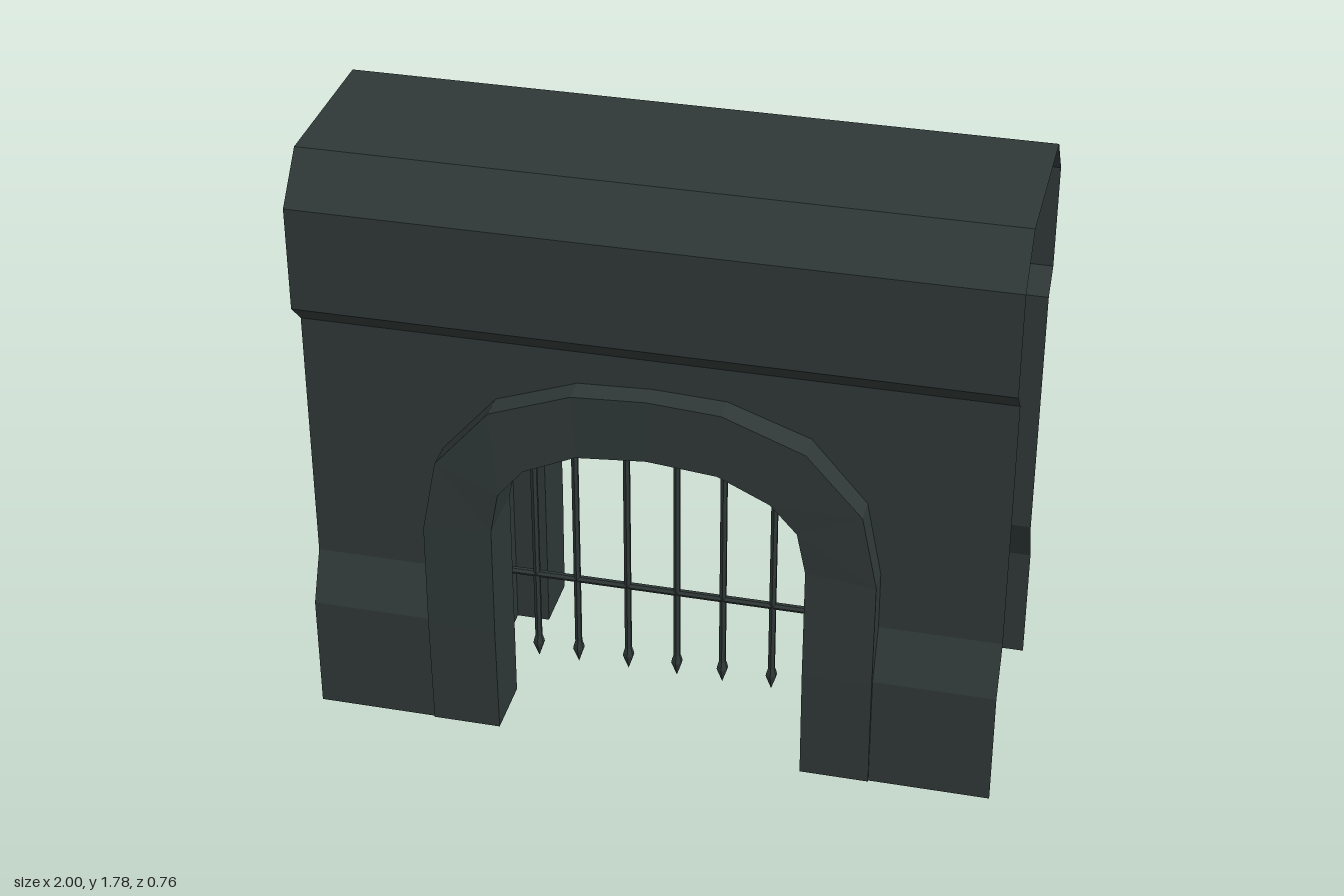
import * as THREE from 'three';

const stone = new THREE.MeshStandardMaterial({ color: 0x2f3837, flatShading: true, side: THREE.DoubleSide });
stone.name = 'darkStone';

// Half outlines of the arch from the right foot to the crown
const innerHalf = [[0.45, 0], [0.45, 0.35], [0.45, 0.7], [0.425, 0.83], [0.35, 0.92], [0.2, 0.985], [0, 1]];
const outerHalf = [[0.65, 0], [0.65, 0.35], [0.65, 0.68], [0.605, 0.91], [0.445, 1.095], [0.21, 1.18], [0, 1.19]];
const mirrorLeft = half => [...half.map(([x, y]) => [-x, y]), ...half.slice(0, -1).reverse()];
const inner = mirrorLeft(innerHalf);
const outer = mirrorLeft(outerHalf);
// Point between the inner (t = 0) and outer (t = 1) outline
const archPoint = (i, t) => inner[i].map((v, k) => v + (outer[i][k] - v) * t);

// Slightly uneven depth of the arch face, left foot to right foot
const faceDepth = [0.365, 0.375, 0.372, 0.378, 0.376, 0.37, 0.366, 0.372, 0.38, 0.372, 0.366, 0.373, 0.365];

function mesh(name, geometry, parent) {
  const m = new THREE.Mesh(geometry, stone);
  m.name = name;
  parent.add(m);
  return m;
}

function fromData(positions, index) {
  const g = new THREE.BufferGeometry();
  g.setAttribute('position', new THREE.Float32BufferAttribute(positions, 3));
  g.setIndex(index);
  g.computeVertexNormals();
  return g;
}

// Sheet following a [y, z] profile from x0 to x1
function sheet(profile, x0, x1) {
  const positions = [], index = [];
  profile.forEach(([y, z], i) => {
    positions.push(x0, y, z, x1, y, z);
    if (i) {
      const a = 2 * i - 2;
      index.push(a, a + 1, a + 3, a, a + 3, a + 2);
    }
  });
  return fromData(positions, index);
}

// Arch body: a grooved cross-section carried along the outline
function archGeometry() {
  const positions = [], index = [];
  const n = inner.length;
  const section = i => {
    const f = faceDepth[i], b = -faceDepth[n - 1 - i], s = 0.18;
    return [[1, f], [0, f], [0, s], [0.5, s], [0.5, -s], [0, -s], [0, b], [1, b],
      [1, -s], [0.94, -s], [0.94, s], [1, s]];
  };
  const k = section(0).length;
  for (let i = 0; i < n; i++) {
    for (const [t, z] of section(i)) positions.push(...archPoint(i, t), z);
    if (i === n - 1) break;
    for (let j = 0; j < k; j++) {
      const a = i * k + j, b = i * k + (j + 1) % k;
      index.push(a, b, a + k, b, b + k, a + k);
    }
  }
  // Feet
  const cap = THREE.ShapeUtils.triangulateShape(section(0).map(p => new THREE.Vector2(...p)), []);
  const last = (n - 1) * k;
  for (const [a, b, c] of cap) index.push(a, b, c, last + a, last + c, last + b);
  return fromData(positions, index);
}

// One face of the wall, with the arch opening left free
function wallFace(name) {
  const g = new THREE.Group();
  g.name = name;
  const plinth = [[0, 0.36], [0.355, 0.36], [0.5, 0.295]];
  mesh('plinthRight', sheet(plinth, -1, -0.55), g);
  mesh('plinthLeft', sheet(plinth, 0.55, 1), g);
  mesh('cornice', sheet([[1.28, 0.295], [1.345, 0.36], [1.655, 0.36], [1.785, 0.245]], -1, 1), g);

  const outline = [[-1, 0.5], [-0.55, 0.5]];
  inner.forEach((_, i) => {
    const p = archPoint(i, 0.5);
    if (p[1] > 0.5) outline.push(p);
  });
  outline.push([0.55, 0.5], [1, 0.5], [1, 1.28], [-1, 1.28]);
  const panel = new THREE.ShapeGeometry(new THREE.Shape(outline.map(p => new THREE.Vector2(...p))));
  mesh('wallPanel', panel.translate(0, 0, 0.295), g);
  return g;
}

// Hanging gate of round bars with pointed ends
function gate() {
  const g = new THREE.Group();
  g.name = 'gate';
  const bars = [[-0.43, 0.97], [-0.305, 1.05], [-0.15, 1.08], [0, 1.09], [0.14, 1.08], [0.29, 1.05], [0.43, 0.97]];
  const spike = [[0, 0], [0.018, 0.05], [0.016, 0.06], [0.01, 0.08]].map(p => new THREE.Vector2(...p));
  for (const [x, top] of bars) {
    mesh('uprightBar', new THREE.CylinderGeometry(0.011, 0.011, top - 0.06, 6, 1, true), g)
      .position.set(x, (top + 0.06) / 2, 0);
    mesh('barSpike', new THREE.LatheGeometry(spike, 6), g).position.x = x;
  }
  for (const y of [0.305, 0.775]) {
    const rail = mesh('crossBar', new THREE.CylinderGeometry(0.011, 0.011, 1.1, 6, 1, true), g);
    rail.rotation.z = Math.PI / 2;
    rail.position.y = y;
  }
  return g;
}

export function createModel() {
  const model = new THREE.Group();
  model.name = 'gateway';
  const back = wallFace('backWall');
  back.rotation.y = Math.PI;
  model.add(wallFace('frontWall'), back, gate());
  mesh('wallTop', sheet([[1.785, 0.245], [1.785, -0.245]], -1, 1), model);
  mesh('arch', archGeometry(), model);
  return model;
}
